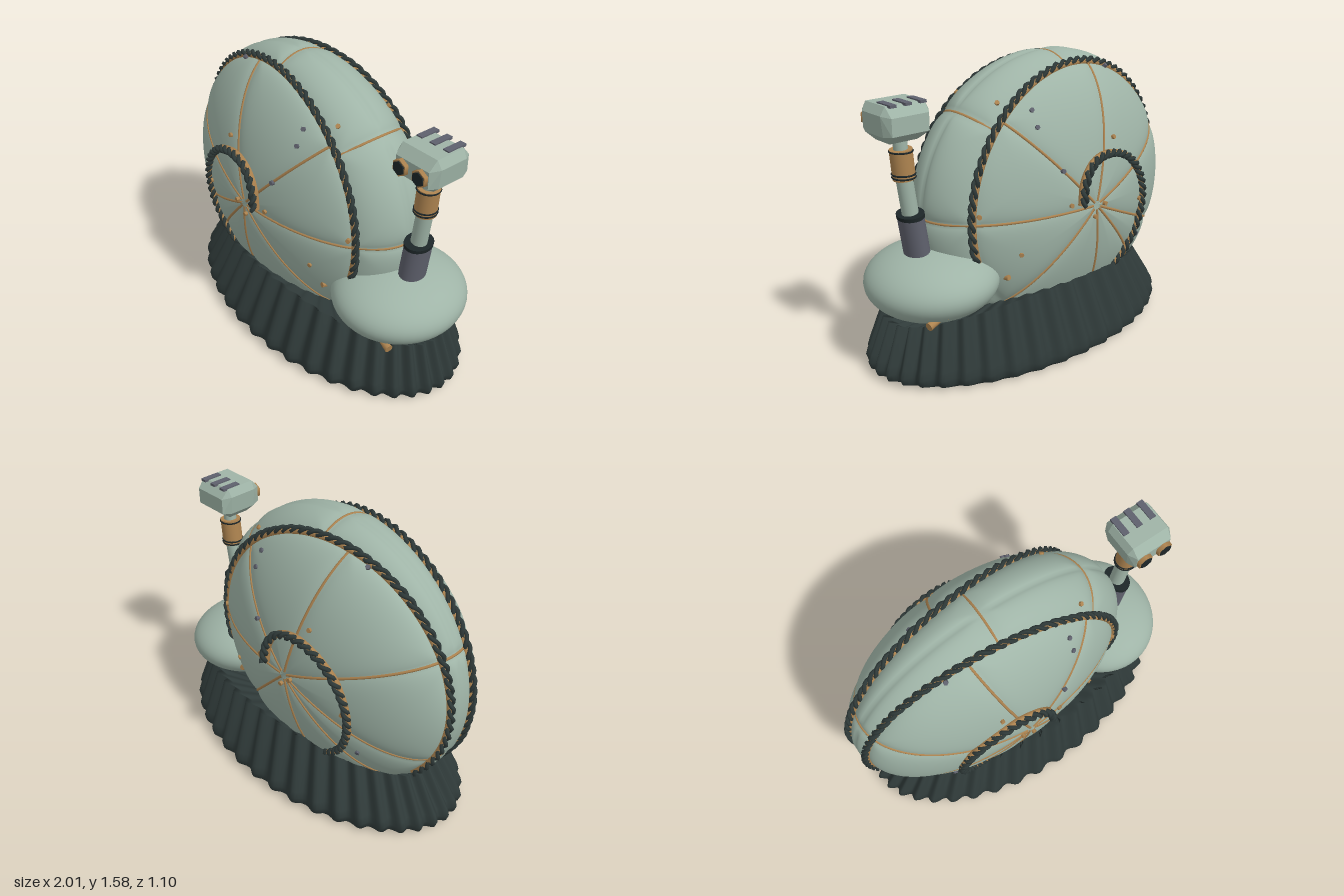
import * as THREE from 'three';
import { mergeVertices } from 'three/addons/utils/BufferGeometryUtils.js';
import { ConvexGeometry } from 'three/addons/geometries/ConvexGeometry.js';

const V = (x, y, z) => new THREE.Vector3(x, y, z);
const DEG = Math.PI / 180;
const mat = (name, color) => {
  const m = new THREE.MeshStandardMaterial({ color });
  m.name = name;
  return m;
};

// Shell ellipsoid: centre and half sizes
const C = V(-0.165, 0.8, 0), S = V(0.835, 0.785, 0.435);
const SIDE_SEAMS = [0, 48, 104, 156, 205, 228, 262, 312].map(a => a * DEG);
const BAND_SEAMS = [0, 43, 91, 156, 205, 228, 262, 312].map(a => a * DEG);

// Point on the shell from its angle about the z axis and its z
function onShell(theta, z, k = 1) {
  const r = Math.sqrt(Math.max(0, 1 - (z / S.z) ** 2));
  return V(C.x + S.x * r * k * Math.cos(theta), C.y + S.y * r * k * Math.sin(theta), z * k);
}
// Point on the shell seen straight from the side at x, y
function sidePoint(x, y, lift = 0) {
  const d = 1 - ((x - C.x) / S.x) ** 2 - ((y - C.y) / S.y) ** 2;
  return V(x, y, S.z * Math.sqrt(Math.max(0, d)) + lift);
}
function shellNormal(p) {
  return V((p.x - C.x) / S.x ** 2, (p.y - C.y) / S.y ** 2, p.z / S.z ** 2).normalize();
}
const ropeZ = x => 0.08 + (x + 1) * 0.105;
function ropePoint(theta, k = 1) {
  let p = onShell(theta, 0.16);
  for (let i = 0; i < 5; i++) p = onShell(theta, ropeZ(p.x));
  return onShell(theta, p.z, k);
}

// Padded shell with grooves along the seams and under the ropes
function shellGeometry() {
  let g = new THREE.SphereGeometry(1, 240, 90);
  g.rotateX(Math.PI / 2);
  g.deleteAttribute('uv');
  g.deleteAttribute('normal');
  g = mergeVertices(g, 1e-5);
  const p = g.attributes.position;
  for (let i = 0; i < p.count; i++) {
    const x = p.getX(i), y = p.getY(i), z = p.getZ(i);
    const theta = Math.atan2(y, x), r = Math.hypot(x, y);
    const az = Math.abs(z * S.z), edge = ropeZ(C.x + S.x * x);
    let d = Math.min(Math.abs(az - edge) * 1.2, az * 2 + 0.02);
    for (const s of az < edge ? BAND_SEAMS : SIDE_SEAMS) {
      const a = Math.abs(Math.atan2(Math.sin(theta - s), Math.cos(theta - s)));
      d = Math.min(d, a * r * 0.8);
    }
    const k = 1.008 - 0.026 * Math.exp(-d / 0.04);
    p.setXYZ(i, C.x + S.x * x * k, C.y + S.y * y * k, S.z * z * k);
  }
  g.computeVertexNormals();
  return g;
}

// Ribbed skirt built from rings: [height, x half, z half, rib depth, rim share]
function skirtGeometry() {
  const rings = [[0, 0, 0, 0, 0], [0, 0.93, 0.51, 0.005, 0], [0.02, 0.965, 0.53, 0.015, 0],
    [0.06, 0.975, 0.533, 0.018, 0], [0.1, 0.96, 0.522, 0.02, 0], [0, 0.85, 0.418, 0.02, 1],
    [-0.03, 0.8, 0.385, 0.015, 1], [0.26, 0, 0, 0, 0]];
  const ribs = 40, n = ribs * 8, pos = [], idx = [];
  rings.forEach(([y, sx, sz, rib, rim], j) => {
    for (let i = 0; i < n; i++) {
      const a = i / n * Math.PI * 2, w = Math.cos(a * ribs);
      const h = y + rim * (0.29 + 0.115 * Math.sin(a) ** 2 + 0.011 * w);
      pos.push((sx + rib * w) * Math.cos(a) + rim * 0.03, h, (sz + rib * w) * Math.sin(a));
      if (j === rings.length - 1) continue;
      const b = j * n + i, c = j * n + (i + 1) % n;
      idx.push(b, b + n, c, c, b + n, c + n);
    }
  });
  const g = new THREE.BufferGeometry();
  g.setAttribute('position', new THREE.Float32BufferAttribute(pos, 3));
  g.setIndex(idx);
  g.computeVertexNormals();
  return g;
}

export function createModel() {
  const sage = mat('sagePanel', 0x9fb4a7), dark = mat('darkRubber', 0x2f3a39);
  const brass = mat('brass', 0xae8450), grey = mat('slateMetal', 0x5f616d);
  const black = mat('blackLens', 0x1d2628);
  const root = new THREE.Group();
  root.name = 'snailCraft';

  const add = (name, geo, m, parent = root) => {
    const mesh = new THREE.Mesh(geo, m);
    mesh.name = name;
    parent.add(mesh);
    return mesh;
  };
  const tube = (name, pts, r, m, seg, parent, sides = 6) =>
    add(name, new THREE.TubeGeometry(new THREE.CatmullRomCurve3(pts), seg, r, sides), m, parent);
  // Cylinder running from a to b
  const rod = (name, a, b, r1, r2, m, sides = 24, parent = root) => {
    const mesh = add(name, new THREE.CylinderGeometry(r2, r1, a.distanceTo(b), sides), m, parent);
    mesh.position.copy(a).lerp(b, 0.5);
    mesh.quaternion.setFromUnitVectors(V(0, 1, 0), b.clone().sub(a).normalize());
    return mesh;
  };
  // Two strands twisted round a path lying on the shell
  const rope = (name, path, turns, r, parent) => {
    const n = turns * 6;
    for (const phase of [0, Math.PI]) {
      const pts = [];
      for (let i = 0; i <= n; i++) {
        const p = path.getPointAt(i / n), t = path.getTangentAt(i / n);
        const u = shellNormal(p), v = t.cross(u).normalize(), a = i / 6 * Math.PI + phase;
        pts.push(p.addScaledVector(u, Math.cos(a) * r).addScaledVector(v, Math.sin(a) * r));
      }
      tube(name, pts, r * 1.05, dark, n * 2, parent, 5);
    }
  };

  add('skirt', skirtGeometry(), dark);
  add('shell', shellGeometry(), sage);

  // Seams, ropes and bolts, repeated on both sides
  const spiral = [[-0.04, 0.83], [-0.06, 0.95], [-0.13, 1.04], [-0.25, 1.07], [-0.4, 1.03], [-0.52, 0.92],
    [-0.58, 0.77], [-0.57, 0.6], [-0.5, 0.45], [-0.39, 0.35]];
  const bolts = [[-0.48, 1.47, 0], [-0.32, 1.14, 1], [0.16, 1.34, 0], [0.16, 1.26, 0], [0.06, 1.03, 0],
    [0.02, 0.84, 1], [-0.22, 0.8, 1], [-0.15, 0.74, 1], [-0.55, 0.74, 1], [-0.61, 0.49, 0], [0.3, 0.62, 1],
    [0.5, 0.85, 1], [0.3, 1.38, 1]];
  for (const side of [1, -1]) {
    const half = new THREE.Group();
    half.name = side > 0 ? 'frontShellTrim' : 'backShellTrim';
    SIDE_SEAMS.forEach(s => {
      const start = Math.asin(ropePoint(s).z / S.z), pts = [];
      for (let i = 0; i <= 12; i++) {
        pts.push(onShell(s, S.z * Math.sin(start + (Math.PI / 2 - 0.03 - start) * i / 12), 0.983));
      }
      tube('sideSeam', pts, 0.008, brass, 36, half);
    });
    const outer = k => new THREE.CatmullRomCurve3(
      Array.from({ length: 40 }, (_, i) => ropePoint((-20 + i * 6.1) * DEG, k)));
    rope('outerRope', outer(1.008), 52, 0.011, half);
    add('outerRopeBand', new THREE.TubeGeometry(outer(0.99), 120, 0.018, 6), brass, half);
    const inner = lift => new THREE.CatmullRomCurve3(
      spiral.map(([x, y], i) => sidePoint(x, y, lift * (1 - i / 11))));
    rope('innerRope', inner(0.032), 28, 0.012, half);
    add('innerRopeBand', new THREE.TubeGeometry(inner(0.01), 80, 0.019, 6), brass, half);
    for (const [x, y, isBrass] of bolts) {
      const p = sidePoint(x, y), u = shellNormal(p);
      rod('bolt', p.clone().addScaledVector(u, -0.02), p.clone().addScaledVector(u, 0.014),
        0.013, 0.013, isBrass ? brass : grey, 6, half);
    }
    half.scale.z = side;
    root.add(half);
  }
  BAND_SEAMS.forEach(s => {
    const e = ropePoint(s).z;
    tube('bandSeam', [-1, -0.5, 0, 0.5, 1].map(t => onShell(s, e * t, 0.983)), 0.008, brass, 20, root);
  });

  // Rounded body in front of the shell
  const body = add('body', new THREE.SphereGeometry(1, 48, 32), sage);
  body.scale.set(0.35, 0.185, 0.375);
  body.position.set(0.62, 0.47, 0);
  body.rotation.z = -0.06;
  for (const s of [1, -1]) {
    rod('sideNozzle', V(0.72, 0.375, s * 0.25), V(0.83, 0.355, s * 0.265), 0.012, 0.022, brass, 12);
    rod('nozzleSpike', V(0.76, 0.37, s * 0.24), V(0.74, 0.385, s * 0.31), 0.02, 0.003, brass, 8);
    rod('bodyBolt', V(0.36, 0.48, s * 0.25), V(0.35, 0.49, s * 0.31), 0.016, 0.016, brass, 6);
  }

  // Leaning neck
  rod('neckSocket', V(0.7, 0.6, 0), V(0.735, 0.845, 0), 0.064, 0.064, grey).scale.z = 1.27;
  rod('socketRim', V(0.733, 0.838, 0), V(0.736, 0.858, 0), 0.067, 0.067, black).scale.z = 1.27;
  rod('neck', V(0.73, 0.82, 0), V(0.762, 1.06, 0), 0.043, 0.043, sage);
  rod('neckCollar', V(0.76, 1.045, 0), V(0.773, 1.2, 0), 0.058, 0.058, brass);
  for (const y of [1.055, 1.072, 1.19]) {
    const ring = add('collarRing', new THREE.TorusGeometry(0.058, 0.005, 6, 28), black);
    ring.rotation.x = Math.PI / 2;
    ring.position.set(0.76 + (y - 1.045) * 0.08, y, 0);
  }
  rod('upperNeck', V(0.772, 1.19, 0), V(0.778, 1.28, 0), 0.036, 0.036, sage);

  // Faceted head: corners of a box cut along every edge
  const head = new THREE.Group();
  head.name = 'head';
  head.position.set(0.785, 1.345, 0.01);
  const corners = [];
  for (const x of [-1, 1]) for (const y of [-1, 1]) for (const z of [-1, 1]) {
    const low = y < 0 ? 0.72 : 1;
    corners.push(V(x * 0.135 * (y < 0 ? 0.92 : 1), y * 0.052, z * 0.08),
      V(x * 0.11 * low, y * 0.096, z * 0.085 * low), V(x * 0.105, y * 0.045, z * 0.13));
  }
  add('headShell', new ConvexGeometry(corners), sage, head);
  for (const s of [-1, 1]) {
    const x = s * 0.062;
    rod('eyeRing', V(x, 0, 0.1), V(x, 0, 0.152), 0.047, 0.045, brass, 6, head);
    rod('eyeLens', V(x, 0, 0.15), V(x, 0, 0.158), 0.038, 0.036, black, 6, head);
  }
  for (const x of [-0.088, -0.004, 0.08]) {
    add('headVent', new THREE.BoxGeometry(0.036, 0.014, 0.115), grey, head).position.set(x, 0.096, -0.055);
  }
  root.add(head);
  return root;
}
